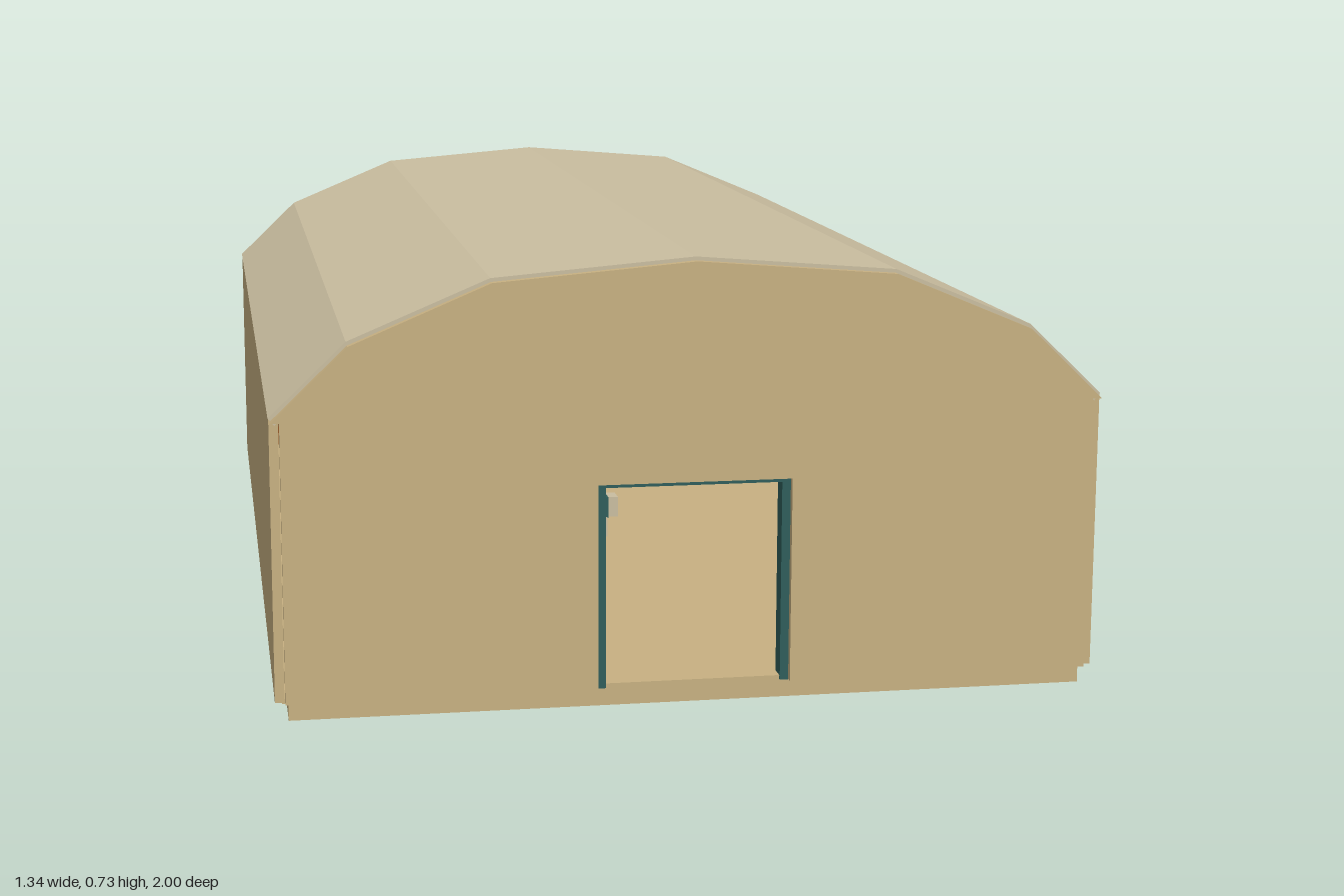
import * as THREE from 'three';

const mat = (name, color, side = THREE.FrontSide) => {
  const m = new THREE.MeshStandardMaterial({ color, side });
  m.name = name;
  return m;
};

export function createModel() {
  const sand = mat('sand wall', 0xc9b283);
  const roofing = mat('pale roof', 0xcbbfa1);
  const teal = mat('teal panel', 0x427d74);
  const darkTeal = mat('dark teal', 0x2f5e5b);
  const seamDark = mat('seam', 0x163436);
  const brown = mat('brown', 0x965a29);

  const hangar = new THREE.Group();
  hangar.name = 'hangar';

  const add = (name, geometry, material, x = 0, y = 0, z = 0, parent = hangar) => {
    const mesh = new THREE.Mesh(geometry, material);
    mesh.name = name;
    mesh.position.set(x, y, z);
    parent.add(mesh);
    return mesh;
  };
  // box given by its centre and size
  const box = (name, material, x, y, z, w, h, d, parent) =>
    add(name, new THREE.BoxGeometry(w, h, d), material, x, y, z, parent);
  const extrude = (points, depth) => new THREE.ExtrudeGeometry(
    new THREE.Shape(points.map(p => new THREE.Vector2(...p))), { depth, bevelEnabled: false });

  // arched roof profile, from the right eave over the ridge to the left eave
  const half = [[0.672, 0.487], [0.55, 0.604], [0.325, 0.698]];
  const arch = [...half, [0, 0.725], ...half.map(([x, y]) => [-x, y]).reverse()];
  const lowered = (dy, sx) => arch.map(([x, y]) => [x * sx, y - dy]);

  // foundation and side walls
  box('foundation', sand, 0, 0.015, 0, 1.3, 0.03, 1.97);
  box('floor', sand, 0, 0.032, 0, 1.32, 0.008, 1.97);
  for (const s of [-1, 1]) box('sideWall', sand, s * 0.6635, 0.2575, 0, 0.015, 0.455, 1.97);

  // roof shell
  add('roof', extrude([...arch, ...lowered(0.012, 0.985).reverse()], 1.972), roofing, 0, 0, -0.986);

  // end walls with a doorway notched out of the bottom edge
  const gable = (name, doorHalf, doorTop, z) => {
    const top = lowered(0.006, 0.997);
    add(name, extrude([
      [doorHalf, 0.03], [0.655, 0.03], [0.655, 0.481], ...top,
      [-0.655, 0.481], [-0.655, 0.03], [-doorHalf, 0.03],
      [-doorHalf, doorTop], [doorHalf, doorTop],
    ], 0.015), sand, 0, 0, z);
  };
  gable('frontWall', 0.157, 0.366, 0.985);
  gable('backWall', 0.6, 0.425, -1);

  // front doorway frame
  for (const s of [-1, 1]) box('doorJamb', darkTeal, s * 0.15, 0.197, 0.973, 0.014, 0.336, 0.03);
  box('doorLintel', darkTeal, 0, 0.362, 0.973, 0.314, 0.007, 0.03);

  // back door frame
  for (const s of [-1, 1]) box('backPost', brown, s * 0.583, 0.227, -0.985, 0.034, 0.395, 0.024);
  box('backLintel', brown, 0, 0.422, -0.985, 1.2, 0.006, 0.024);

  // back sliding doors: two leaves of three panels, lined on the inside
  for (const s of [-1, 1]) {
    box('doorLeaf', darkTeal, s * 0.283, 0.227, -0.985, 0.566, 0.386, 0.016);
    for (let row = 0; row < 3; row++) {
      const y = 0.1 + row * 0.13;
      box('innerPanel', teal, s * 0.285, y, -0.973, 0.55, 0.125, 0.006);
      for (const e of [-1, 1]) box('innerTrim', sand, s * 0.285, y + e * 0.056, -0.969, 0.55, 0.007, 0.006);
    }
    for (let row = 1; row < 3; row++)
      box('panelSeam', seamDark, s * 0.283, 0.035 + row * 0.13, -0.9935, 0.566, 0.004, 0.003);
  }
  box('centreSeam', seamDark, 0, 0.227, -0.9935, 0.008, 0.386, 0.003);

  // small aircraft parked inside
  const craft = new THREE.Group();
  craft.name = 'aircraft';
  hangar.add(craft);
  const hexBody = (name, radius, length, material, z) => {
    const g = new THREE.CylinderGeometry(radius, radius, length, 6).toNonIndexed();
    g.rotateY(Math.PI / 6).rotateX(Math.PI / 2).rotateZ(0);
    g.computeVertexNormals();
    return add(name, g, material, 0, 0.24, z, craft);
  };
  const hull = hexBody('fuselage', 0.078, 0.7, brown, -0.25);
  const nose = hexBody('nosePlate', 0.068, 0.008, sand, 0.103);
  for (const part of [hull, nose]) part.scale.y = 0.93;
  box('noseBlock', brown, 0, 0.222, 0.115, 0.054, 0.046, 0.02, craft);
  box('wing', roofing, 0, 0.35, -0.2, 0.6, 0.016, 0.2, craft);
  box('wingStrut', darkTeal, 0, 0.322, -0.2, 0.02, 0.045, 0.1, craft);
  box('gearStrut', roofing, 0, 0.15, 0, 0.022, 0.07, 0.022, craft);
  box('gearHub', darkTeal, 0, 0.095, 0, 0.042, 0.042, 0.05, craft);
  box('gearFoot', roofing, 0, 0.054, 0, 0.038, 0.044, 0.05, craft);
  for (const s of [-1, 1]) box('gearWheel', roofing, s * 0.031, 0.095, 0, 0.02, 0.04, 0.04, craft);

  // storage crate by the right wall
  box('crate', brown, -0.44, 0.06, 0.47, 0.14, 0.05, 0.14);
  box('crateLid', roofing, -0.44, 0.09, 0.47, 0.15, 0.01, 0.15);

  return hangar;
}
